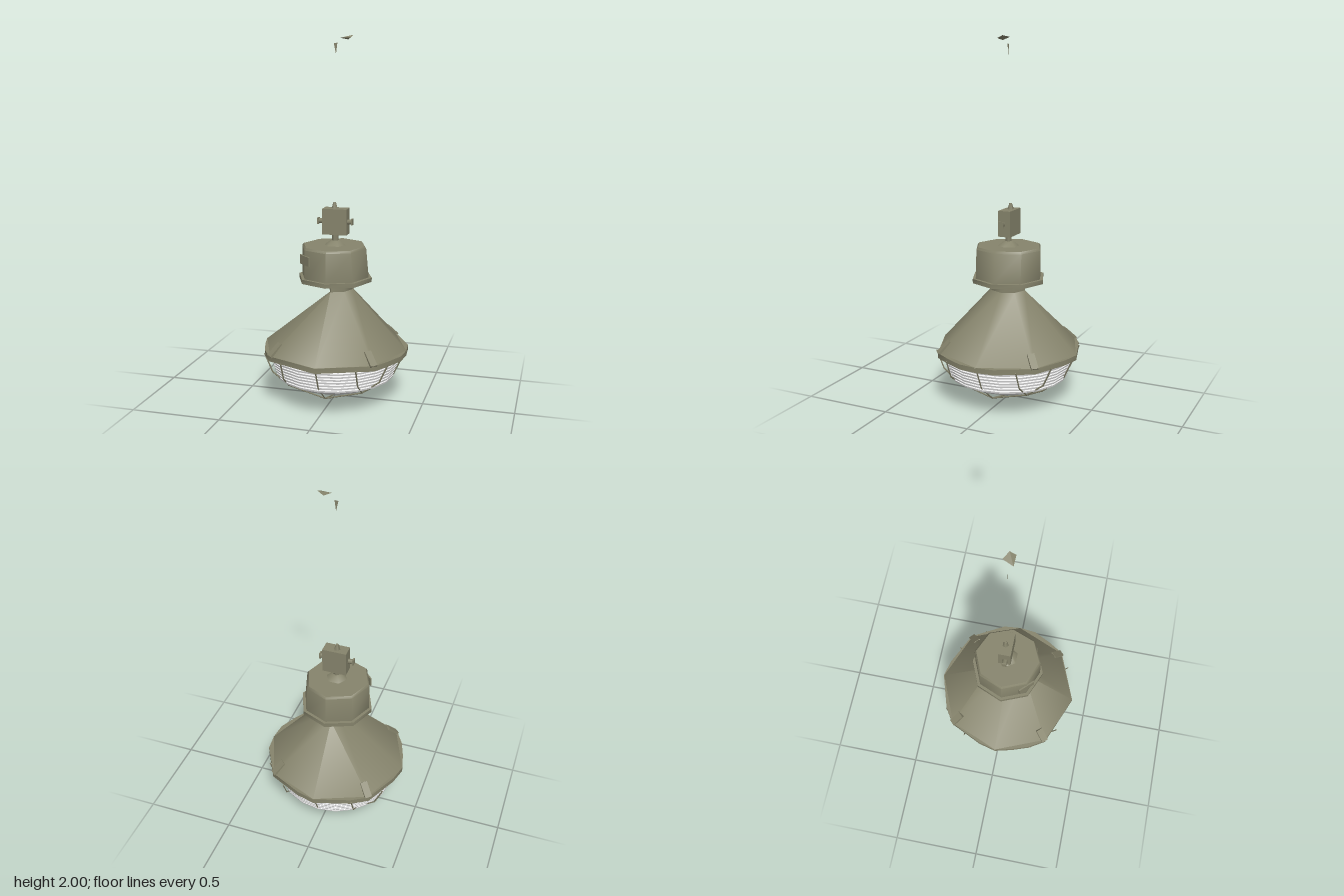
import * as THREE from 'three';
import { toCreasedNormals } from 'three/addons/utils/BufferGeometryUtils.js';

const olive = new THREE.MeshStandardMaterial({ color: 0x86846c, side: THREE.DoubleSide });
olive.name = 'olive paint';
const glass = new THREE.MeshStandardMaterial({ color: 0xf8f8f8, side: THREE.DoubleSide });
glass.name = 'white glass';

// Regular ring of [x, z] points
function ring(r, n = 8) {
  return Array.from({ length: n }, (_, i) => {
    const a = (i / n) * Math.PI * 2;
    return [r * Math.cos(a), r * Math.sin(a)];
  });
}

// Skin through horizontal rings, given bottom to top as [y, points]
function loft(levels, capBottom = false, capTop = false) {
  const n = levels[0][1].length, pos = [], idx = [];
  for (const [y, pts] of levels) for (const [x, z] of pts) pos.push(x, y, z);
  for (let k = 0; k < levels.length - 1; k++) {
    for (let i = 0; i < n; i++) {
      const a = k * n + i, b = k * n + ((i + 1) % n);
      idx.push(a, a + n, b, b, a + n, b + n);
    }
  }
  const cap = (k, up) => {
    const c = pos.length / 3;
    pos.push(0, levels[k][0], 0);
    for (let i = 0; i < n; i++) {
      const a = k * n + i, b = k * n + ((i + 1) % n);
      if (up) idx.push(c, b, a); else idx.push(c, a, b);
    }
  };
  if (capBottom) cap(0, false);
  if (capTop) cap(levels.length - 1, true);
  const g = new THREE.BufferGeometry();
  g.setAttribute('position', new THREE.Float32BufferAttribute(pos, 3));
  g.setIndex(idx);
  return toCreasedNormals(g, 0.9);
}

export function createModel() {
  const model = new THREE.Group();
  model.name = 'industrialLamp';
  const add = (name, geo, mat = olive, parent = model) => {
    const m = new THREE.Mesh(geo, mat);
    m.name = name;
    parent.add(m);
    return m;
  };
  const box = (name, w, h, d, x, y, z) => {
    const m = add(name, new THREE.BoxGeometry(w, h, d));
    m.position.set(x, y, z);
    return m;
  };

  // Conical shade, flattened on one side of its narrow top
  const mouth = ring(0.407);
  const throat = [[0.1, 0], [0.07, 0.07], [0, 0.1], [0, 0.1], [0, 0], [0, -0.1], [0, -0.1], [0.07, -0.07]];
  add('shade', loft([[0.3, mouth], [0.63, throat]]));

  // Uneven rim band
  const rimOuter = [
    [0.405, 0], [0.395, 0.1], [0.345, 0.2], [0.29, 0.29], [0, 0.407], [-0.29, 0.29], [-0.345, 0.2], [-0.38, 0.1],
    [-0.405, 0], [-0.38, -0.1], [-0.29, -0.29], [-0.2, -0.345], [0, -0.407], [0.1, -0.382], [0.29, -0.29], [0.395, -0.1]];
  const rimInner = rimOuter.map(([x, z]) => [x * 0.92, z * 0.92]);
  add('rim', loft([[0.275, rimInner], [0.275, rimOuter], [0.303, rimOuter], [0.303, rimInner]]));

  // Neck, flange and ballast housing
  const neckTop = [[0.1, 0], [0.07, 0.07], [0, 0.1], [-0.03, 0.05], [-0.06, 0], [-0.03, -0.05], [0, -0.1], [0.07, -0.07]];
  add('neck', loft([[0.63, throat], [0.685, neckTop]]));
  add('flange', loft([[0.678, ring(0.207)], [0.702, ring(0.207)]], true, true));
  const housingTop = ring(0.19).map(([x, z]) => [x > 0 ? x * 0.92 : x, z]);
  add('housing', loft([[0.7, ring(0.19)], [0.862, housingTop], [0.874, housingTop.map(([x, z]) => [x * 0.95, z * 0.95])]], false, true));
  const plate = box('namePlate', 0.1, 0.05, 0.008, -0.134, 0.807, 0.134);
  plate.rotation.y = -Math.PI / 4;

  // Stem and hanging bracket
  add('stemBase', loft([[0.872, ring(0.062, 6)], [0.9, ring(0.025, 6)]], false, true));
  add('stem', new THREE.CylinderGeometry(0.018, 0.018, 0.06, 6)).position.set(0, 0.915, 0);
  box('hangerBox', 0.136, 0.142, 0.07, 0.002, 1.005, -0.006);
  for (const s of [-1, 1]) {
    const bolt = add('sideBolt', new THREE.CylinderGeometry(0.014, 0.014, 0.026, 6));
    bolt.rotation.z = Math.PI / 2;
    bolt.position.set(s * 0.08, 1.005, 0);
    box('boltHead', 0.008, 0.034, 0.026, s * 0.095, 1.005, 0);
  }
  add('topBolt', new THREE.CylinderGeometry(0.008, 0.018, 0.035, 5)).position.set(-0.005, 1.092, -0.01);

  // Loose pieces of the hanging hook
  const hook = [[0.032, 0.02], [0.09, 0.022], [0.095, -0.01], [0.055, -0.035]];
  const hookY = [1.984, 1.986, 2, 1.992];
  const hookGeo = new THREE.BufferGeometry();
  hookGeo.setAttribute('position', new THREE.Float32BufferAttribute(
    [...hook.flatMap(([x, z], i) => [x, hookY[i], z]), 0.07, 1.976, 0], 3));
  hookGeo.setIndex([0, 1, 2, 0, 2, 3, 0, 4, 1, 1, 4, 2, 2, 4, 3, 3, 4, 0]);
  add('hookTop', toCreasedNormals(hookGeo, 0.3));
  const tip = new THREE.Shape([[0.004, 1.9], [0.012, 1.96], [-0.008, 1.957]].map(p => new THREE.Vector2(...p)));
  add('hookTip', new THREE.ShapeGeometry(tip));

  // Ribbed glass wall
  const ribs = [];
  for (let i = 7; i >= 0; i--) {
    const r = 0.372 - i * 0.0055, y = 0.285 - i * 0.018;
    ribs.push(new THREE.Vector2(r - 0.003, y - 0.015), new THREE.Vector2(r, y - 0.005), new THREE.Vector2(r - 0.01, y));
  }
  add('glassRibs', toCreasedNormals(new THREE.LatheGeometry(ribs, 20), 0.5), glass);

  // Smooth glass bowl
  const bowl = [[0.001, 0.045], [0.1, 0.055], [0.2, 0.083], [0.275, 0.115], [0.327, 0.15]];
  add('glassBowl', new THREE.LatheGeometry(bowl.map(p => new THREE.Vector2(...p)), 20), glass);

  // Clips at the diagonals
  for (let i = 0; i < 4; i++) {
    const pivot = new THREE.Group();
    pivot.name = 'clip';
    pivot.rotation.y = Math.PI / 4 + (i * Math.PI) / 2;
    model.add(pivot);
    const clip = add('clipPlate', new THREE.BoxGeometry(0.09, 0.018, 0.04), olive, pivot);
    clip.position.set(0.373, 0.33, 0);
    clip.rotation.z = -0.75;
  }

  // Wire guard: three bent wires each way
  const guard = new THREE.Group();
  guard.name = 'wireGuard';
  model.add(guard);
  const wire = (pts) => {
    for (let i = 0; i < pts.length - 1; i++) {
      const a = new THREE.Vector3(...pts[i]), b = new THREE.Vector3(...pts[i + 1]);
      const m = add('guardWire', new THREE.CylinderGeometry(0.0042, 0.0042, a.distanceTo(b) + 0.003, 4), olive, guard);
      m.position.copy(a).lerp(b, 0.5);
      m.quaternion.setFromUnitVectors(new THREE.Vector3(0, 1, 0), b.sub(a).normalize());
    }
  };
  const middle = [[0.392, 0.285], [0.335, 0.165], [0.207, 0.062], [0, 0.008]];
  const outer = [[0.345, 0.285], [0.3, 0.185], [0.205, 0.115], [0, 0.062]];
  for (const off of [-0.205, 0, 0.205]) {
    const half = off ? outer : middle;
    const path = [...half, ...half.slice(0, -1).reverse().map(([u, y]) => [-u, y])];
    wire(path.map(([u, y]) => [u, y, off]));
    wire(path.map(([u, y]) => [off, y, u]));
  }
  return model;
}
